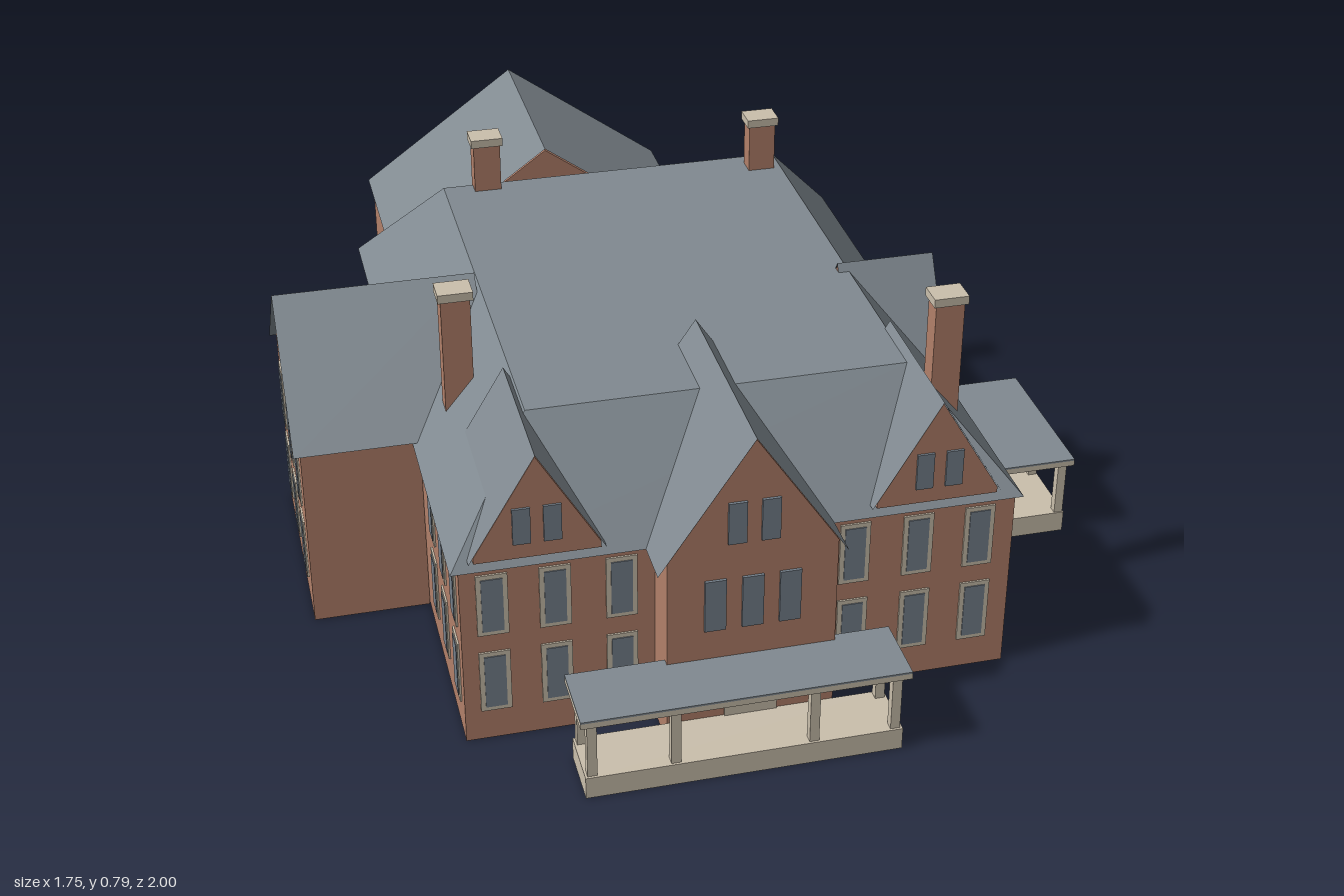
import * as THREE from 'three';

const mat = (name, color, side = THREE.FrontSide) => {
  const m = new THREE.MeshStandardMaterial({ color, side });
  m.name = name;
  return m;
};

export function createModel() {
  const model = new THREE.Group();
  model.name = 'brickHouse';
  const brick = mat('brick', 0xb2806a, THREE.DoubleSide);
  const slate = mat('slate', 0x808990, THREE.DoubleSide);
  const stone = mat('stone', 0xcabfac);
  const glass = mat('glass', 0x76818c);

  const add = (parent, name, geometry, material) => {
    const m = new THREE.Mesh(geometry, material);
    m.name = name;
    parent.add(m);
    return m;
  };
  // Box given by its limits on each axis
  const box = (parent, name, material, x0, x1, y0, y1, z0, z1) => {
    const m = add(parent, name, new THREE.BoxGeometry(x1 - x0, y1 - y0, z1 - z0), material);
    m.position.set((x0 + x1) / 2, (y0 + y1) / 2, (z0 + z1) / 2);
    return m;
  };
  // Group whose local +z points out of a side of the house
  const facing = (name, turn, x = 0, z = 0) => {
    const g = new THREE.Group();
    g.name = name;
    g.rotation.y = turn;
    g.position.set(x, 0, z);
    model.add(g);
    return g;
  };
  // Flat-shaded sheet made of four-cornered faces
  const sheet = (parent, name, quads, material) => {
    const p = [];
    for (const [a, b, c, d] of quads) p.push(...a, ...b, ...c, ...a, ...c, ...d);
    const g = new THREE.BufferGeometry();
    g.setAttribute('position', new THREE.Float32BufferAttribute(p, 3));
    g.computeVertexNormals();
    return add(parent, name, g, material);
  };
  const pane = (g, x, y, d, w, h, framed = true) => {
    if (framed) box(g, 'windowFrame', stone, x - w / 2, x + w / 2, y - h / 2, y + h / 2, d - 0.003, d + 0.004);
    const k = framed ? 0.01 : 0;
    box(g, 'windowGlass', glass, x - w / 2 + k, x + w / 2 - k, y - h / 2 + k, y + h / 2 - k, d - 0.002, d + 0.006);
  };
  const windowRows = (g, xs, d, w = 0.064, h = 0.145) => {
    for (const x of xs) for (const y of [0.145, 0.333]) pane(g, x, y, d, w, h);
  };
  // Gable end and two roof slopes, with the ridge along local z
  const gable = (g, half, wall, eave, peak, back, front, lip) => {
    const y = peak - (peak - eave) * wall / half - 0.004;
    const s = new THREE.Shape();
    s.moveTo(-wall, eave);
    s.lineTo(wall, eave);
    if (y > eave) s.lineTo(wall, y);
    s.lineTo(0, peak - 0.004);
    if (y > eave) s.lineTo(-wall, y);
    s.closePath();
    const geo = new THREE.ExtrudeGeometry(s, { depth: front - lip - back - 0.001, bevelEnabled: false });
    add(g, 'gableEnd', geo, brick).position.z = back + 0.001;
    sheet(g, 'gableRoof', [
      [[half, eave, front], [half, eave, back], [0, peak, back], [0, peak, front]],
      [[-half, eave, back], [-half, eave, front], [0, peak, front], [0, peak, back]],
    ], slate);
  };

  // Main walls, open underneath
  const [X0, X1, Z0, Z1] = [-0.605, 0.55, -0.62, 0.76];
  const ring = [[X0, Z1], [X1, Z1], [X1, Z0], [X0, Z0]];
  sheet(model, 'mainWalls', ring.map(([x, z], i) => {
    const [u, v] = ring[(i + 1) % 4];
    return [[x, 0, z], [u, 0, v], [u, 0.43, v], [x, 0.43, z]];
  }), brick);

  // Hipped main roof with a flat top
  const low = [[-0.622, 0.77], [0.565, 0.77], [0.565, -0.645], [-0.622, -0.645]].map(([x, z]) => [x, 0.42, z]);
  const top = [[-0.43, 0.575], [0.37, 0.575], [0.37, -0.45], [-0.43, -0.45]].map(([x, z]) => [x, 0.655, z]);
  sheet(model, 'mainRoof', [
    ...low.map((p, i) => [p, low[(i + 1) % 4], top[(i + 1) % 4], top[i]]),
    top,
  ], slate);

  // Windows on the main walls
  windowRows(facing('frontWindows', 0), [-0.54, -0.413, -0.278, 0.208, 0.343, 0.475], Z1);
  windowRows(facing('leftWindows', Math.PI / 2),
    [-0.69, -0.545, -0.404, 0.075, 0.198, 0.316, 0.44, 0.556], X1);
  windowRows(facing('rightWindows', -Math.PI / 2), [-0.54, -0.43, -0.31, 0.404, 0.545, 0.69], -X0);

  // Rear wing
  const rear = facing('rearWing', Math.PI, -0.175, 0);
  box(rear, 'rearWingWalls', brick, -0.365, 0.365, 0, 0.43, 0.621, 0.98);
  gable(rear, 0.375, 0.365, 0.43, 0.7, 0.51, 1.0, 0.02);
  windowRows(rear, [-0.3, -0.18, -0.06, 0.06, 0.18, 0.3], 0.98, 0.06, 0.125);

  // Side wing
  const side = facing('sideWing', -Math.PI / 2, 0, 0.0225);
  box(side, 'sideWingWalls', brick, -0.253, 0.253, 0, 0.43, 0.606, 0.86);
  gable(side, 0.2675, 0.253, 0.43, 0.677, 0.437, 0.875, 0.015);
  windowRows(side, [-0.16, 0, 0.16], 0.86);

  // Front bay with door
  const bay = facing('frontBay', 0, -0.035, 0);
  box(bay, 'bayWalls', brick, -0.175, 0.175, 0, 0.42, 0.761, 0.862);
  gable(bay, 0.195, 0.175, 0.42, 0.71, 0.393, 0.87, 0.008);
  for (const x of [-0.077, 0, 0.077]) pane(bay, x, 0.33, 0.862, 0.044, 0.12, false);
  for (const x of [-0.034, 0.034]) pane(bay, x, 0.52, 0.862, 0.038, 0.095, false);
  box(bay, 'door', stone, -0.055, 0.055, 0.05, 0.178, 0.86, 0.866);
  pane(bay, 0, 0.166, 0.863, 0.09, 0.018, false);

  // Roof dormers
  const dormer = (name, turn, x, z, back, front, paned) => {
    const g = facing(name, turn, x, z);
    gable(g, 0.138, 0.128, 0.44, 0.673, back, front, 0.003);
    if (paned) for (const u of [-0.031, 0.031]) pane(g, u, 0.516, front - 0.004, 0.036, 0.082, false);
  };
  dormer('frontDormerRight', 0, -0.447, 0, 0.43, 0.772, true);
  dormer('frontDormerLeft', 0, 0.377, 0, 0.43, 0.772, true);
  dormer('sideDormer', Math.PI / 2, 0, 0.16, 0.345, 0.565, false);

  // Chimneys with stone caps: x, z, foot height
  for (const [x, z, y] of [[-0.52, 0.28, 0.5], [0.46, 0.535, 0.5], [-0.33, -0.437, 0.6], [0.322, -0.395, 0.6]]) {
    box(model, 'chimney', brick, x - 0.031, x + 0.031, y, 0.77, z - 0.023, z + 0.023);
    box(model, 'chimneyCap', stone, x - 0.037, x + 0.037, 0.768, 0.787, z - 0.029, z + 0.029);
  }

  // Porches: base, flat roof and posts
  const porch = (name, x0, x1, z0, z1, posts, roof) => {
    const g = facing(name, 0);
    box(g, 'porchBase', stone, x0, x1, 0, 0.05, z0, z1);
    box(g, 'porchBeam', stone, roof[0], roof[1], 0.182, 0.195, roof[2], roof[3]);
    box(g, 'porchRoof', slate, roof[0], roof[1], 0.195, 0.199, roof[2], roof[3]);
    for (const [x, z] of posts) box(g, 'porchPost', stone, x - 0.01, x + 0.01, 0.05, 0.183, z - 0.01, z + 0.01);
  };
  porch('frontPorch', -0.405, 0.25, 0.862, 0.99,
    [[-0.39, 0.975], [-0.22, 0.975], [0.065, 0.975], [0.235, 0.975], [-0.39, 0.875], [0.235, 0.875]],
    [-0.415, 0.26, 0.845, 1.0]);
  porch('sidePorch', 0.551, 0.86, -0.015, 0.335,
    [[0.848, 0.322], [0.848, 0.16], [0.848, -0.002], [0.563, 0.322], [0.563, -0.002]],
    [0.551, 0.87, -0.027, 0.345]);

  return model;
}
